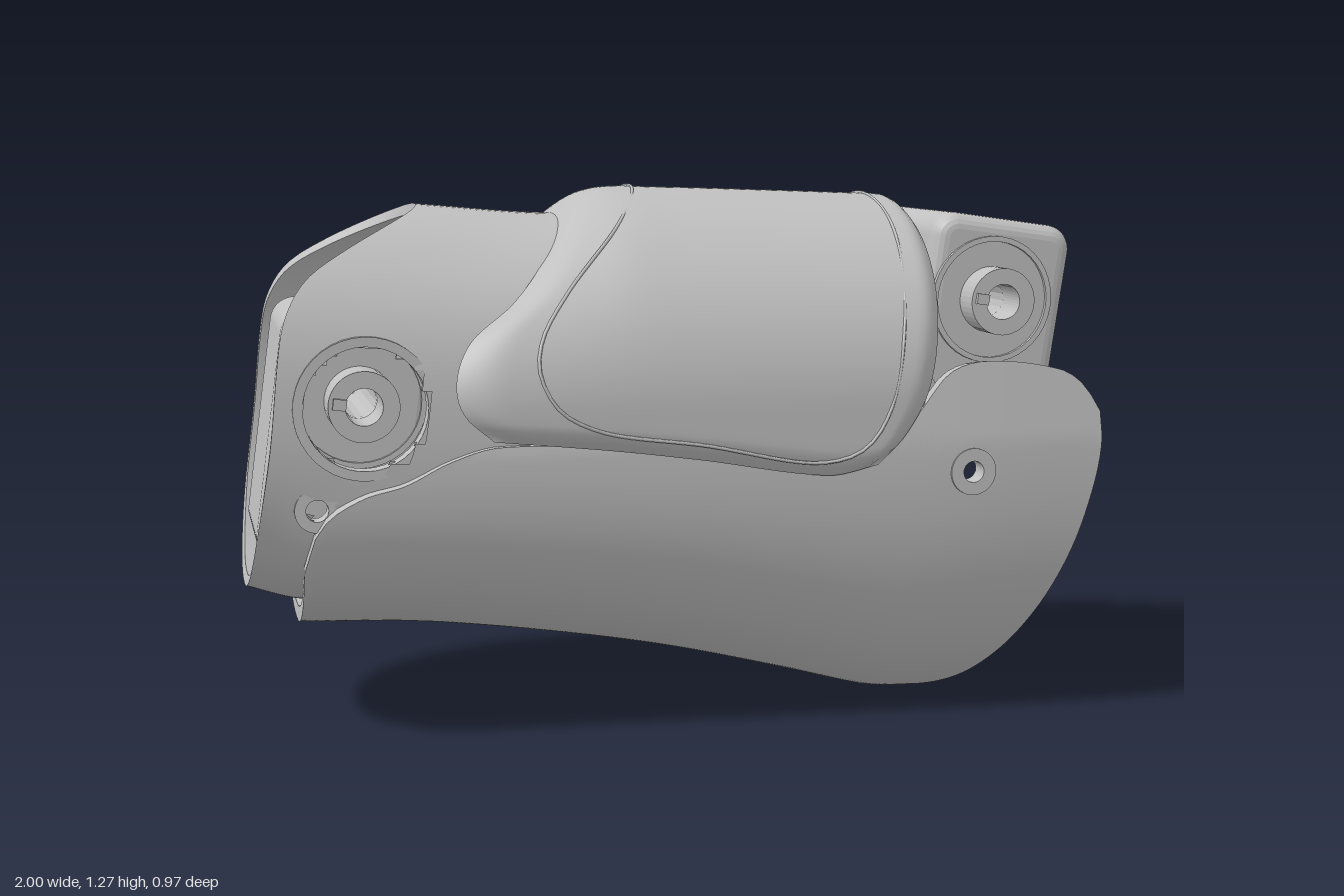
import * as THREE from 'three';
import { mergeVertices, mergeGeometries } from 'three/addons/utils/BufferGeometryUtils.js';

const { lerp, clamp } = THREE.MathUtils;

// Smooth curve through [key, value] pairs, held constant beyond the ends
function table(pts) {
  const n = pts.length;
  const slope = (i) => {
    const a = pts[Math.max(i - 1, 0)], b = pts[Math.min(i + 1, n - 1)];
    return (b[1] - a[1]) / (b[0] - a[0]);
  };
  return (x) => {
    if (x <= pts[0][0]) return pts[0][1];
    if (x >= pts[n - 1][0]) return pts[n - 1][1];
    let i = 0;
    while (x > pts[i + 1][0]) i++;
    const d = pts[i + 1][0] - pts[i][0], t = (x - pts[i][0]) / d, t2 = t * t, t3 = t2 * t;
    return (2 * t3 - 3 * t2 + 1) * pts[i][1] + (t3 - 2 * t2 + t) * d * slope(i)
      + (3 * t2 - 2 * t3) * pts[i + 1][1] + (t3 - t2) * d * slope(i + 1);
  };
}

// Side-view patch blended between bottom, top, left and right edge curves
function sidePatch({ bot, top, left, right, xb, xt }) {
  const B = (u) => { const x = lerp(xb[0], xb[1], u); return [x, bot(x)]; };
  const T = (u) => { const x = lerp(xt[0], xt[1], u); return [x, top(x)]; };
  const edge = (u, fn, h) => { const y = lerp(B(u)[1], T(u)[1], h); return [fn(y), y]; };
  return (u, h) => {
    const b = B(u), t = T(u), l = edge(0, left, h), r = edge(1, right, h);
    return [0, 1].map((k) => lerp(b[k], t[k], h) + lerp(l[k], r[k], u)
      - lerp(lerp(B(0)[k], B(1)[k], u), lerp(T(0)[k], T(1)[k], u), h));
  };
}

// Thick shell over f(u, v), u in 0..1, v in -1..1; cut(x, y) removes openings
function shell(f, nu, nv, thick, closed, cut = () => false) {
  const wrap = (v) => (v > 1 ? v - 2 : v < -1 ? v + 2 : v);
  const P = (u, v) => f(u, wrap(v));
  const outer = [], inner = [], e = 0.004;
  for (let i = 0; i <= nu; i++) for (let j = 0; j <= nv; j++) {
    const u = i / nu, v = -1 + 2 * j / nv, p = P(u, v);
    const a = clamp(u, 0.02, 0.98), b = closed ? v : clamp(v, -0.97, 0.97);
    const n = P(a + e, b).sub(P(a - e, b)).cross(P(a, b + e).sub(P(a, b - e))).normalize();
    outer.push(p);
    inner.push(p.clone().addScaledVector(n, -thick(u, v)));
  }
  const out = [], inn = [], rim = [];
  const quad = (list, a, b, c, d) => { for (const q of [a, b, c, a, c, d]) list.push(q.x, q.y, q.z); };
  const id = (i, j) => i * (nv + 1) + j;
  for (let i = 0; i < nu; i++) for (let j = 0; j < nv; j++) {
    const q = [id(i, j), id(i + 1, j), id(i + 1, j + 1), id(i, j + 1)];
    const m = outer[q[0]].clone().add(outer[q[2]]).multiplyScalar(0.5);
    if (cut(m.x, m.y)) continue;
    quad(out, ...q.map((k) => outer[k]));
    quad(inn, ...q.reverse().map((k) => inner[k]));
  }
  const wall = (a, b) => quad(rim, outer[b], outer[a], inner[a], inner[b]);
  for (let j = 0; j < nv; j++) { wall(id(0, j + 1), id(0, j)); wall(id(nu, j), id(nu, j + 1)); }
  if (!closed) for (let i = 0; i < nu; i++) { wall(id(i, 0), id(i + 1, 0)); wall(id(i + 1, nv), id(i, nv)); }
  return mergeGeometries([out, inn, rim].map((list) => {
    const g = new THREE.BufferGeometry();
    g.setAttribute('position', new THREE.Float32BufferAttribute(list, 3));
    const m = mergeVertices(g, 1e-5);
    m.computeVertexNormals();
    return m;
  }));
}

// Flat ring with its axis on z
function ringGeo(ro, ri, len) {
  const s = new THREE.Shape().absarc(0, 0, ro, 0, Math.PI * 2);
  if (ri) s.holes.push(new THREE.Path().absarc(0, 0, ri, 0, Math.PI * 2, true));
  return new THREE.ExtrudeGeometry(s, { depth: len, bevelEnabled: false, curveSegments: 20 }).translate(0, 0, -len / 2);
}

export function createModel() {
  const model = new THREE.Group();
  const grey = new THREE.MeshStandardMaterial({ color: 0xc0c0c0, side: THREE.DoubleSide });
  grey.name = 'lightGrey';
  const add = (name, geo, x = 0, y = 0, z = 0, parent = model) => {
    const m = new THREE.Mesh(geo, grey);
    m.name = name;
    m.position.set(x, y, z);
    parent.add(m);
    return m;
  };
  const pair = (name, geo, x, y, z, parent) => [-1, 1].forEach((s) => add(name, geo, x, y, s * z, parent));
  const inside = (x, y, cx, cy, r) => Math.hypot(x - cx, y - cy) < r;

  // Lower trough with an oblique right end and a lip that thickens at the bottom
  const trough = {
    bot: table([[-0.88, 0.25], [-0.6, 0.235], [-0.3, 0.195], [0, 0.14], [0.3, 0.065], [0.5, 0.01], [0.57, 0], [1, -0.01]]),
    top: table([[-0.88, 0.42], [-0.85, 0.52], [-0.76, 0.59], [-0.66, 0.62], [-0.56, 0.67], [-0.45, 0.7], [-0.2, 0.69],
      [0.3, 0.63], [0.45, 0.67], [0.53, 0.76], [0.6, 0.84], [0.7, 0.865], [0.88, 0.84], [0.94, 0.8], [0.978, 0.74]]),
    left: () => -0.88,
    right: table([[0, 0.57], [0.03, 0.68], [0.1, 0.76], [0.24, 0.85], [0.4, 0.92], [0.56, 0.965], [0.66, 0.981], [0.74, 0.978]]),
    xb: [-0.88, 0.57], xt: [-0.88, 0.978],
  };
  const troughSide = sidePatch(trough), troughW = table([[-0.88, 0.385], [0, 0.43], [0.6, 0.452], [1, 0.445]]);
  add('lowerShell', shell((u, v) => {
    const [x, y] = troughSide(u, 1 - Math.cos(v * Math.PI / 2)), b = trough.bot(x);
    const k = clamp((0.68 - y) / (0.68 - b), 0, 1), lean = Math.max(0, y - 0.68) * 0.12;
    return new THREE.Vector3(x, y, Math.sign(v) * (troughW(x) * (1 - k ** 2.3) ** (1 / 2.3) - lean));
  }, 80, 110, (u, v) => 0.035 + u ** 6 * (0.012 + 0.085 * Math.cos(v * Math.PI / 2) ** 2), false,
  (x, y) => inside(x, y, 0.655, 0.61, 0.04)));
  pair('lowerScrewSeat', ringGeo(0.055, 0.025, 0.05), 0.655, 0.61, 0.431);

  // Inner sleeve, open at the left with a scooped mouth
  const sleeve = sidePatch({
    bot: table([[-1, 0.34], [-0.88, 0.305], [-0.6, 0.29]]),
    top: table([[-0.58, 1.225], [-0.25, 1.2], [0.57, 1.2]]),
    left: table([[0.34, -1], [0.5, -0.98], [0.7, -0.95], [0.95, -0.92], [1.03, -0.89], [1.083, -0.845], [1.133, -0.765],
      [1.174, -0.685], [1.212, -0.605], [1.225, -0.58]]),
    right: table([[0.29, -0.6], [0.45, -0.45], [0.55, 0], [0.62, 0.4], [0.75, 0.53], [1.2, 0.57]]),
    xb: [-1, -0.6], xt: [-0.58, 0.57],
  });
  add('innerSleeve', shell((u, v) => {
    const h = (1 - Math.cos(v * Math.PI)) / 2, [x, y] = sleeve(u, h);
    const z = lerp(0.362, 0.43, u) * Math.max(0, 1 - Math.abs(2 * h - 1) ** 2.35) ** (1 / 2.35);
    return new THREE.Vector3(x, y, Math.sign(v) * z);
  }, 70, 120, () => 0.025, true, (x, y) => inside(x, y, -0.74, 0.79, 0.143) || inside(x, y, -0.85, 0.565, 0.035)));
  pair('jointOpeningRim', ringGeo(0.16, 0.138, 0.045), -0.74, 0.79, 0.345);
  pair('sleeveScrewSeat', ringGeo(0.05, 0.025, 0.05), -0.85, 0.565, 0.325);

  // Arched upper pad with softened edges
  const padTop = table([[-0.55, 1.17], [-0.4, 1.19], [-0.26, 1.225], [-0.14, 1.26], [0, 1.26], [0.3, 1.25], [0.605, 1.238]]);
  const padSide = sidePatch({
    bot: table([[-0.47, 0.72], [-0.2, 0.69], [0, 0.662], [0.3, 0.615], [0.42, 0.635]]),
    top: padTop,
    left: table([[0.72, -0.47], [0.78, -0.535], [0.86, -0.55], [0.95, -0.51], [1.03, -0.41], [1.13, -0.32], [1.225, -0.26]]),
    right: table([[0.635, 0.42], [0.7, 0.485], [0.8, 0.54], [1, 0.58], [1.238, 0.605]]),
    xb: [-0.47, 0.42], xt: [-0.26, 0.605],
  });
  const padZ = (x, y) => 0.482 * Math.sqrt(1 - clamp((y - 0.78) / (padTop(x) - 0.78), 0, 1) ** 2);
  add('upperPad', shell((u, v) => {
    const h = Math.cos(v * Math.PI / 2), [x, y] = padSide(u, h), z = -Math.sign(v) * padZ(x, y);
    const fall = (d, w) => Math.max(0, 1 - d / w) ** 2;
    const dip = 0.03 * Math.min(1, fall(u, 0.1) + fall(1 - u, 0.05) + fall(h, 0.08));
    const dir = new THREE.Vector3(0, Math.max(0, y - 0.78), z).normalize();
    return new THREE.Vector3(x, y, z).addScaledVector(dir, -dip);
  }, 70, 100, () => 0.04, false));

  // Seam line around the pad's central panel
  const seam = [[-0.07, 1.258], [-0.15, 1.18], [-0.29, 1.04], [-0.36, 0.94], [-0.37, 0.87], [-0.33, 0.79], [-0.24, 0.74], [0, 0.7],
    [0.28, 0.65], [0.38, 0.68], [0.44, 0.77], [0.48, 0.95], [0.515, 1.15], [0.525, 1.235]];
  const seamPts = [1, -1].flatMap((s) => {
    const side = seam.map(([x, y]) => new THREE.Vector3(x, Math.min(y, padTop(x)), s * padZ(x, y)));
    return s > 0 ? side : side.reverse();
  });
  add('padSeam', new THREE.TubeGeometry(new THREE.CatmullRomCurve3(seamPts, true, 'centripetal'), 160, 0.004, 6, true));

  // Bulkhead closing the right end of the pad
  const arch = new THREE.Shape().moveTo(0.43, -0.04).absarc(0, 0, 0.435, 0, Math.PI).lineTo(-0.43, -0.04);
  const cap = add('padBulkhead', new THREE.ExtrudeGeometry(arch, { depth: 0.03, bevelEnabled: false, curveSegments: 32 }), 0.51, 0.785, 0);
  cap.rotation.set(0, Math.PI / 2, -0.13, 'ZYX');

  // Joint motors: rounded blocks bored through at the hub
  const motor = (name, cx, cy, hx, hy, hubOut) => {
    const g = new THREE.Group(), w = 0.18, h = 0.292, r = 0.06, q = Math.PI / 2;
    const s = new THREE.Shape().absarc(w - r, h - r, r, 0, q).absarc(r - w, h - r, r, q, 2 * q)
      .absarc(r - w, r - h, r, 2 * q, 3 * q).absarc(w - r, r - h, r, 3 * q, 4 * q);
    const tilt = -0.14, p = new THREE.Vector2(hx - cx, hy - cy).rotateAround(new THREE.Vector2(), -tilt);
    s.holes.push(new THREE.Path().absarc(p.x, p.y, 0.042, 0, Math.PI * 2, true));
    const body = new THREE.ExtrudeGeometry(s, { depth: 0.37, bevelSize: 0.038, bevelThickness: 0.04, bevelOffset: -0.038, bevelSegments: 5, curveSegments: 8 });
    add('motorBody', body.translate(0, 0, -0.185), 0, 0, 0, g);
    pair('motorFaceRing', ringGeo(0.153, 0.14, 0.012), p.x, p.y, 0.228, g);
    pair('motorHub', ringGeo(0.08, 0.042, hubOut - 0.2), p.x, p.y, (hubOut + 0.2) / 2, g);
    pair('hubSlotBar', new THREE.BoxGeometry(0.03, 0.025, 0.02), p.x - 0.055, p.y, hubOut, g);
    g.name = name;
    g.position.set(cx, cy, 0);
    g.rotation.z = tilt;
    model.add(g);
  };
  motor('rightJointMotor', 0.785, 0.893, 0.785, 0.99, 0.3);
  motor('leftJointMotor', -0.765, 0.69, -0.74, 0.79, 0.33);

  // Mounting bosses and internal chassis
  pair('bracketDisc', ringGeo(0.18, 0, 0.14), 0.43, 0.73, 0.29);
  const hex = new THREE.CylinderGeometry(0.078, 0.078, 0.17, 6).rotateX(Math.PI / 2);
  pair('shellBoss', hex, 0.84, 0.735, 0.3);
  add('chassis', new THREE.BoxGeometry(0.85, 0.38, 0.42), -0.13, 0.62, 0);
  const web = new THREE.Shape().absellipse(0, 0, 0.36, 0.39, Math.PI, Math.PI * 2);
  add('crossWeb', new THREE.ExtrudeGeometry(web, { depth: 0.03, bevelEnabled: false, curveSegments: 24 }).rotateY(Math.PI / 2), -0.47, 0.7, 0);
  add('endDisc', new THREE.CylinderGeometry(0.19, 0.19, 0.12, 40).rotateZ(Math.PI / 2), 0.3, 0.46, 0);
  for (let i = 0; i < 5; i++)
    add('discStud', new THREE.CylinderGeometry(0.02, 0.02, 0.012, 12).rotateZ(Math.PI / 2), 0.362, 0.38 + i * 0.038, -0.105);

  return model;
}
